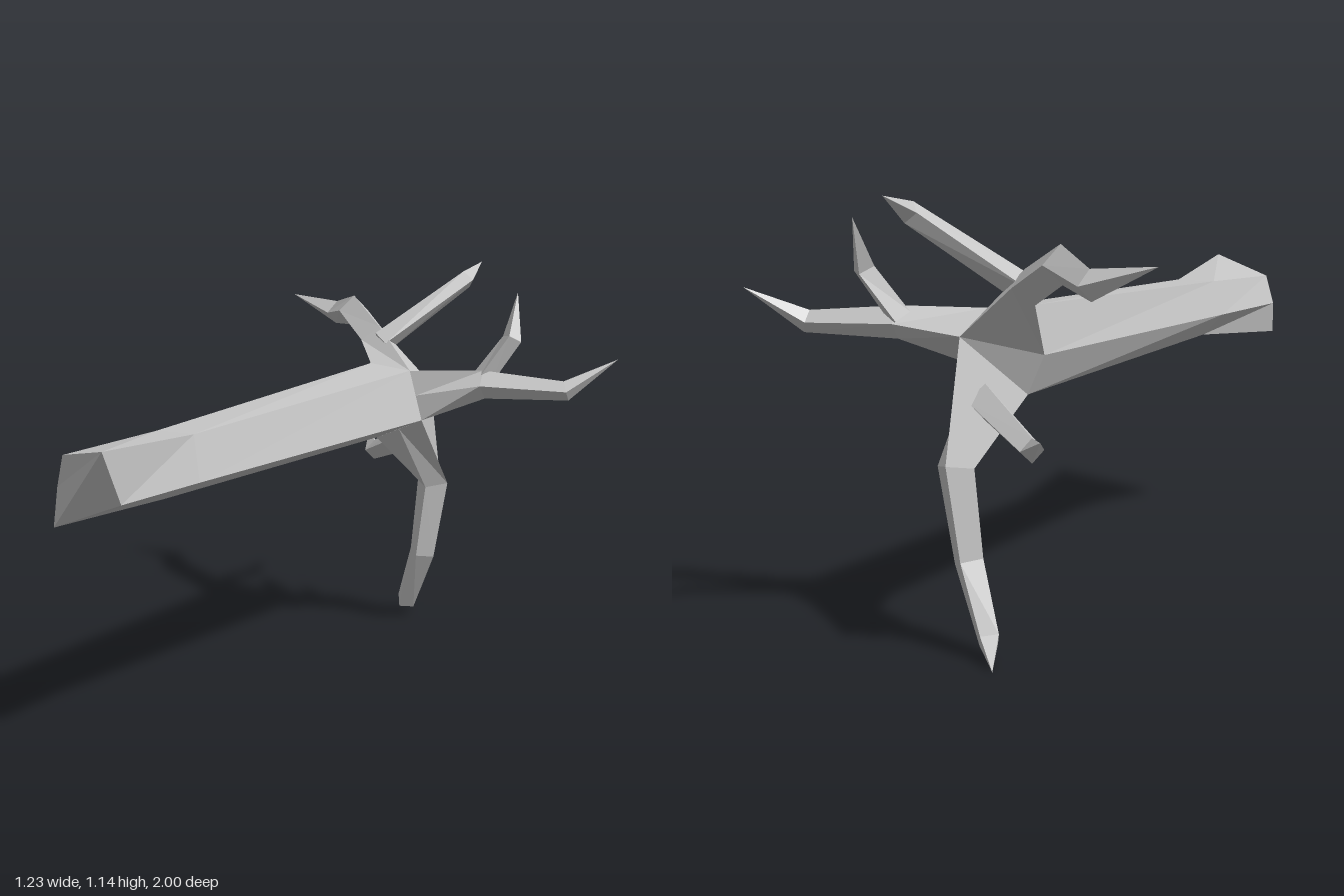
import * as THREE from 'three';

const v = (p) => new THREE.Vector3(p[0], p[1], p[2]);

// Flat-shaded skin over rings of points; rings turn counterclockwise seen from the start.
// A ring with one point is a tip.
function loft(rings) {
  const pos = [];
  const tri = (...pts) => pts.forEach((p) => pos.push(p.x, p.y, p.z));
  for (let i = 0; i < rings.length - 1; i++) {
    const a = rings[i], b = rings[i + 1], n = a.length;
    for (let j = 0; j < n; j++) {
      const k = (j + 1) % n;
      if (b.length === 1) {
        tri(a[j], b[0], a[k]);
      } else {
        tri(a[j], b[j], b[k]);
        tri(a[j], b[k], a[k]);
      }
    }
  }
  const first = rings[0];
  for (let j = 1; j < first.length - 1; j++) tri(first[0], first[j], first[j + 1]);
  const geo = new THREE.BufferGeometry();
  geo.setAttribute('position', new THREE.Float32BufferAttribute(pos, 3));
  geo.computeVertexNormals();
  return geo;
}

// Four-sided limb along [x, y, z, radius] stations, ending in a point; ref aims one ridge.
// An optional root ring joins the limb to the corners of the trunk.
function limb(stations, ref, root) {
  const c = stations.map(v);
  const rings = c.map((p, i) => {
    const r = stations[i][3];
    if (i === 0 && root) return root.map(v);
    if (!r) return [p];
    const t = new THREE.Vector3();
    if (i > 0) t.add(p.clone().sub(c[i - 1]).normalize());
    if (i < c.length - 1) t.add(c[i + 1].clone().sub(p).normalize());
    t.normalize();
    const n = ref.clone().addScaledVector(t, -ref.dot(t)).normalize();
    const s = n.clone().cross(t);
    return [n, s, n.clone().negate(), s.clone().negate()]
      .map((d) => p.clone().addScaledVector(d, r));
  });
  return loft(rings);
}

export function createModel() {
  const group = new THREE.Group();
  const bark = new THREE.MeshStandardMaterial({ color: 0xc6c6c6, flatShading: true });
  bark.name = 'greyBark';
  const add = (name, geo) => {
    const mesh = new THREE.Mesh(geo, bark);
    mesh.name = name;
    group.add(mesh);
  };

  // Corners of the trunk's crown end, shared with the main limbs
  const crown = [[0.03, 0.84, -0.575], [-0.105, 0.855, -0.575], [-0.13, 0.73, -0.575], [-0.08, 0.625, -0.57], [0.072, 0.69, -0.575]];
  const [topLeft, topRight, sideRight, bottom, sideLeft] = crown;
  const back = [0.03, 0.785, -0.72];

  // Five-sided trunk from the slanted broken end to the crown
  add('trunk', loft([
    [[0.025, 0.832, 1], [-0.19, 0.785, 0.87], [-0.22, 0.7, 0.855], [-0.207, 0.605, 0.89], [0.02, 0.69, 0.92]],
    [[-0.03, 0.8, 0.53], [-0.145, 0.8, 0.53], [-0.175, 0.7, 0.53], [-0.1, 0.63, 0.56], [0, 0.68, 0.55]],
    crown,
    [back],
  ].map((ring) => ring.map(v))));

  const up = new THREE.Vector3(0, 1, 0), front = new THREE.Vector3(0, 0, 1);

  // Main limbs spreading from the crown
  add('rightBranch', limb([
    [-0.06, 0.8, -0.64, 0.085], [-0.155, 0.915, -0.7, 0.05], [-0.3, 0.988, -0.82, 0.048],
    [-0.443, 0.962, -0.965, 0.037], [-0.615, 1.013, -0.98, 0],
  ], up, [topLeft, topRight, sideRight, back]));
  add('leftBranch', limb([
    [0.03, 0.765, -0.645, 0.078], [0.24, 0.802, -0.66, 0.043], [0.49, 0.795, -0.702, 0.03],
    [0.615, 0.887, -0.8, 0],
  ], up, [topLeft, back, sideLeft, [0.051, 0.765, -0.575]]));
  add('lowerBranch', limb([
    [0, 0.7, -0.65, 0.085], [0.024, 0.465, -0.757, 0.052], [-0.01, 0.23, -0.757, 0.042],
    [-0.088, 0.05, -0.8, 0.033], [-0.145, 0.003, -0.89, 0],
  ], front, [[-0.004, 0.657, -0.5725], sideLeft, back, bottom]));

  // Small twigs growing from the limbs
  add('leftTwig', limb([
    [0.225, 0.815, -0.675, 0.033], [0.308, 0.94, -0.71, 0.031], [0.29, 1.075, -0.788, 0],
  ], front));
  add('upperTwig', limb([
    [-0.115, 0.91, -0.665, 0.036], [0.078, 1.1, -0.87, 0.029], [0.073, 1.147, -0.995, 0],
  ], up));
  add('lowerTwig', limb([
    [-0.01, 0.625, -0.68, 0.045], [-0.215, 0.538, -0.81, 0.031], [-0.283, 0.58, -0.9, 0],
  ], up));
  return group;
}
